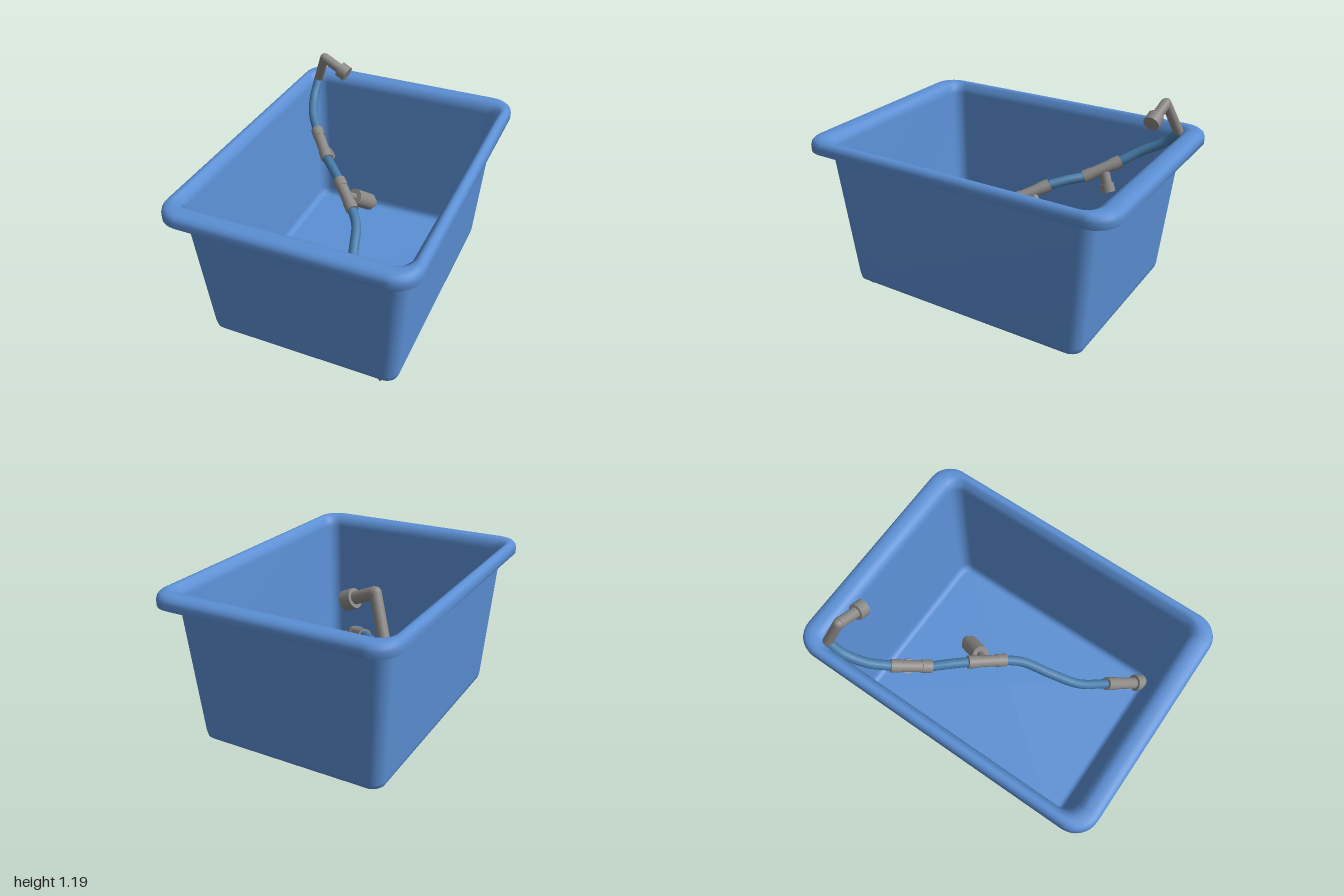
import * as THREE from 'three';

const blue = new THREE.MeshStandardMaterial({ color: 0x5b8fd4 });
blue.name = 'tubBlue';
const hoseBlue = new THREE.MeshStandardMaterial({ color: 0x467ba8 });
hoseBlue.name = 'hoseBlue';
const grey = new THREE.MeshStandardMaterial({ color: 0x8a8885 });
grey.name = 'fittingGrey';

const V = (x, y, z) => new THREE.Vector3(x, y, z);

// One horizontal rounded rectangle: half width, half length, corner radius, height
function ring(hw, hl, r, y, seg = 8) {
  const pts = [];
  [[1, 1], [-1, 1], [-1, -1], [1, -1]].forEach(([sx, sz], k) => {
    for (let i = 0; i <= seg; i++) {
      const t = (k + i / seg) * Math.PI / 2;
      pts.push(sx * (hw - r) + r * Math.cos(t), y, sz * (hl - r) + r * Math.sin(t));
    }
  });
  return pts;
}

// Skin a series of rings with the same point count
function loft(rings) {
  const n = rings[0].length / 3, index = [];
  for (let i = 0; i < rings.length - 1; i++) {
    for (let j = 0; j < n; j++) {
      const a = i * n + j, b = i * n + (j + 1) % n;
      index.push(a, a + n, b, b, a + n, b + n);
    }
  }
  const g = new THREE.BufferGeometry();
  g.setAttribute('position', new THREE.Float32BufferAttribute(rings.flat(), 3));
  g.setIndex(index);
  g.computeVertexNormals();
  return g;
}

function add(parent, name, geometry, material) {
  const m = new THREE.Mesh(geometry, material);
  m.name = name;
  parent.add(m);
  return m;
}

// Straight cylinder between two points
function rod(parent, name, a, b, r, r2 = r) {
  const d = b.clone().sub(a);
  const m = add(parent, name, new THREE.CylinderGeometry(r2, r, d.length(), 24), grey);
  m.position.copy(a).add(b).multiplyScalar(0.5);
  m.quaternion.setFromUnitVectors(V(0, 1, 0), d.normalize());
  return m;
}

function hose(parent, name, pts) {
  const curve = new THREE.CatmullRomCurve3(pts);
  return add(parent, name, new THREE.TubeGeometry(curve, 40, 0.03, 16), hoseBlue);
}

export function createModel() {
  const model = new THREE.Group();
  model.name = 'tubWithHose';

  // Tub shell: underside, outer wall, hollow rolled rim, inner wall, floor
  const profile = [
    [0, 0, 0, 0.03], [0.545, 0.74, 0.05, 0.03], [0.565, 0.762, 0.06, 0.034],
    [0.582, 0.778, 0.07, 0.048], [0.589, 0.785, 0.075, 0.08],
    [0.65, 0.855, 0.085, 0.93], [0.653, 0.857, 0.085, 0.965],
    [0.7, 0.95, 0.12, 0.965], [0.715, 0.968, 0.13, 0.945], [0.717, 0.97, 0.13, 0.915],
    [0.725, 0.98, 0.14, 0.915], [0.725, 0.98, 0.14, 0.95], [0.72, 0.973, 0.135, 0.969],
    [0.708, 0.957, 0.125, 0.983], [0.692, 0.93, 0.115, 0.989],
    [0.678, 0.895, 0.1, 0.987], [0.667, 0.868, 0.09, 0.978],
    [0.648, 0.848, 0.08, 0.95], [0.637, 0.842, 0.075, 0.92],
    [0.577, 0.773, 0.065, 0.09], [0.57, 0.766, 0.06, 0.06],
    [0.553, 0.75, 0.05, 0.047], [0.535, 0.73, 0.05, 0.043], [0, 0, 0, 0.043],
  ];
  const tub = add(model, 'tub', loft(profile.map(p => ring(...p))), blue);
  tub.rotation.y = -0.031;

  // Key points along the hose line
  const elbow = V(-0.51, 1.15, -0.765), base = V(-0.59, 0.95, -0.835);
  const f1a = V(-0.47, 0.74, -0.52), f1b = V(-0.32, 0.65, -0.34);
  const f2a = V(-0.17, 0.62, -0.18), f2b = V(-0.01, 0.54, -0.01);
  const outA = V(0.3, 0.24, 0.57), outB = V(0.47, 0.07, 0.72);

  // Hose sections between the fittings
  hose(model, 'upperHose', [base, V(-0.585, 0.87, -0.75), V(-0.54, 0.8, -0.62), f1a]);
  hose(model, 'middleHose', [f1b, V(-0.25, 0.64, -0.265), f2a]);
  hose(model, 'lowerHose', [f2b, V(0.05, 0.5, 0.08), V(0.1, 0.43, 0.25),
    V(0.17, 0.34, 0.43), outA]);

  // Spout standing above the rim
  const spout = new THREE.Group();
  spout.name = 'spout';
  model.add(spout);
  rod(spout, 'spoutRiser', base, elbow, 0.03);
  const joint = add(spout, 'spoutElbow', new THREE.SphereGeometry(0.03, 20, 14), grey);
  joint.position.copy(elbow);
  rod(spout, 'spoutArm', elbow, V(-0.39, 1.095, -0.748), 0.032);
  rod(spout, 'spoutCap', V(-0.395, 1.097, -0.749), V(-0.338, 1.07, -0.742), 0.05);

  // Two inline tees with their branches
  const tees = new THREE.Group();
  tees.name = 'tees';
  model.add(tees);
  [[f1a, f1b], [f2a, f2b]].forEach(([a, b]) => {
    rod(tees, 'teeBody', a, b, 0.036);
    [[0, 0.25], [0.75, 1]].forEach(([s, e]) =>
      rod(tees, 'teeCollar', a.clone().lerp(b, s), a.clone().lerp(b, e), 0.04));
  });
  rod(tees, 'shortBranch', V(-0.405, 0.7, -0.435), V(-0.385, 0.6, -0.475), 0.034);
  rod(tees, 'shortBranchCap', V(-0.387, 0.61, -0.47), V(-0.375, 0.56, -0.49), 0.045);
  rod(tees, 'floatStem', V(-0.095, 0.58, -0.1), V(-0.055, 0.52, -0.175), 0.022);
  rod(tees, 'floatBody', V(-0.06, 0.525, -0.165), V(-0.005, 0.42, -0.29), 0.054);
  rod(tees, 'floatTip', V(-0.005, 0.42, -0.29), V(0.01, 0.39, -0.325), 0.04, 0.03);

  // Drain outlet through the lower corner
  const drain = new THREE.Group();
  drain.name = 'drain';
  model.add(drain);
  rod(drain, 'drainCollar', outA, V(0.36, 0.18, 0.623), 0.042);
  rod(drain, 'drainPipe', V(0.35, 0.19, 0.614), outB, 0.038);
  rod(drain, 'drainCap', V(0.465, 0.075, 0.715), V(0.508, 0.04, 0.752), 0.055);
  return model;
}
